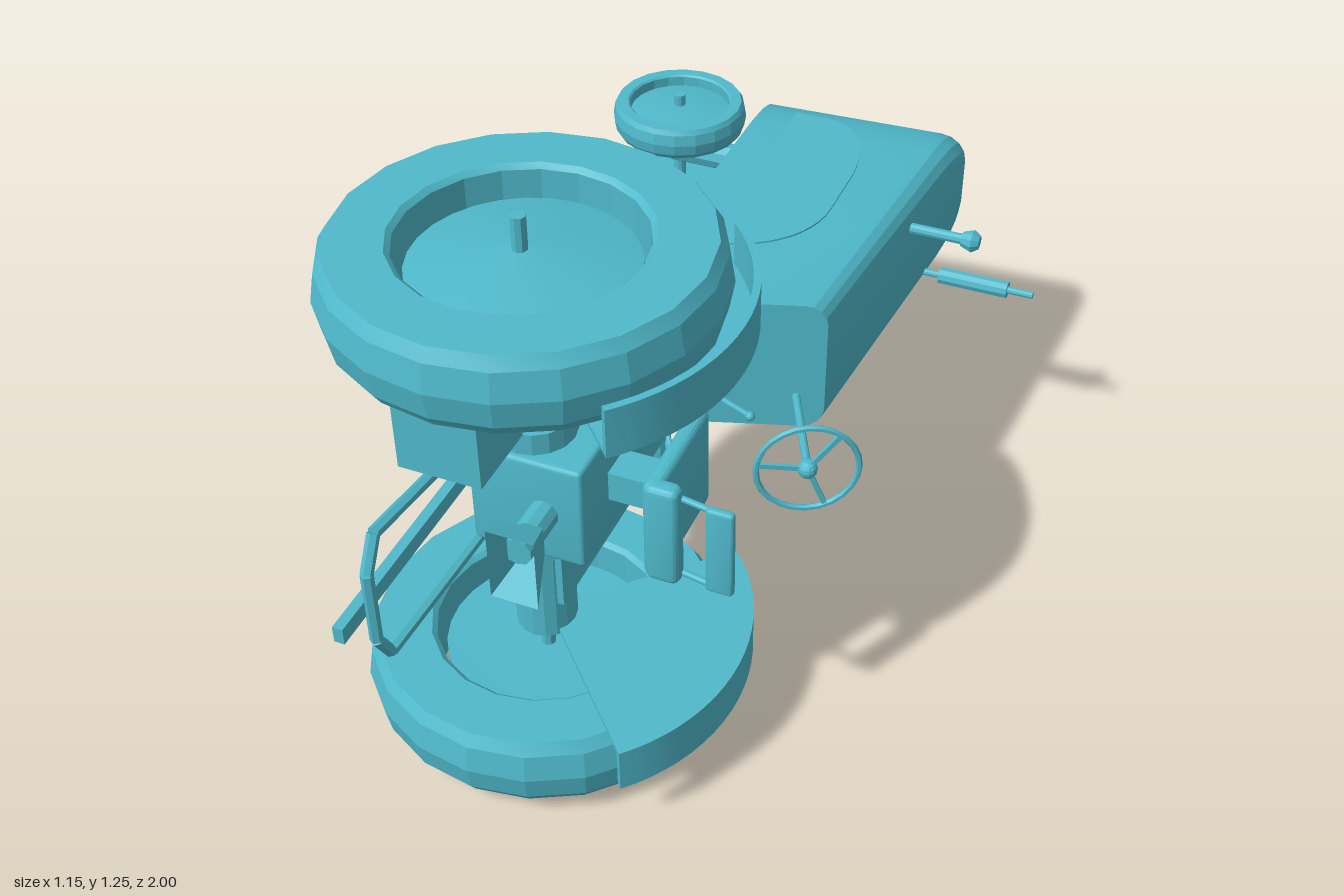
import * as THREE from 'three';
import { toCreasedNormals } from 'three/addons/utils/BufferGeometryUtils.js';
import { RoundedBoxGeometry } from 'three/addons/geometries/RoundedBoxGeometry.js';

// The tractor lies on its side: its height runs along x, its width along y, its nose points to -z.
const MID = 0.625; // centre plane of the tractor
const V = (x, y, z) => new THREE.Vector3(x, y, z);

export function createModel() {
  const root = new THREE.Group();
  const teal = new THREE.MeshStandardMaterial({ color: 0x4fb9cb });
  teal.name = 'teal paint';
  teal.side = THREE.DoubleSide;

  const add = (name, geo, x = 0, y = 0, z = 0, parent = root) => {
    const m = new THREE.Mesh(toCreasedNormals(geo, 0.3), teal);
    m.name = name;
    m.position.set(x, y, z);
    parent.add(m);
    return m;
  };
  // Box given by its limits
  const box = (name, x0, x1, y0, y1, z0, z1, r = 0) => {
    const s = [x1 - x0, y1 - y0, z1 - z0];
    const geo = r ? new RoundedBoxGeometry(...s, 2, r) : new THREE.BoxGeometry(...s);
    return add(name, geo, (x0 + x1) / 2, (y0 + y1) / 2, (z0 + z1) / 2);
  };
  // Round bar between two points
  const rod = (name, a, b, r, r2 = r, n = 10) => {
    const d = b.clone().sub(a);
    const m = add(name, new THREE.CylinderGeometry(r2, r, d.length(), n));
    m.position.copy(a).addScaledVector(d, 0.5);
    m.quaternion.setFromUnitVectors(V(0, 1, 0), d.normalize());
    return m;
  };

  // Wheel with a tyre ring and a shallow cone disc, outer side towards +y
  const wheel = (name, R, hole, rim, w, x, y, z, up) => {
    const g = new THREE.Group();
    g.name = name;
    const h = w / 2, t = R * 0.07;
    const half = [[hole, 0.88 * h], [hole + t * 0.4, h], [R - t, h], [R - t * 0.4, 0.7 * h]];
    const tyre = [...half.map(([r, v]) => [r, -v]), [R, 0], ...half.reverse(), [hole, -0.88 * h]];
    add('tyre', new THREE.LatheGeometry(tyre.map(p => new THREE.Vector2(...p)), 20), 0, 0, 0, g);
    const disc = [[0, -0.1 * h], [rim, -0.25 * h], [rim, 0.25 * h], [0, 0.75 * h]];
    add('wheelDisc', new THREE.LatheGeometry(disc.map(p => new THREE.Vector2(...p)), 28), 0, 0, 0, g);
    g.position.set(x, y, z);
    if (!up) g.rotation.x = Math.PI;
    root.add(g);
  };
  for (const s of [1, -1]) {
    const side = s > 0 ? 'left' : 'right';
    wheel(side + 'RearWheel', 0.395, 0.243, 0.225, 0.172, -0.18, MID + s * 0.491, 0.45, s > 0);
    wheel(side + 'FrontWheel', 0.169, 0.126, 0.126, 0.078, -0.403, MID + s * 0.1, -0.83, s > 0);
  }
  rod('rearAxle', V(-0.18, 0, 0.46), V(-0.18, 1.25, 0.46), 0.016, 0.016, 8);
  rod('rearAxleHousing', V(-0.178, 0.225, 0.46), V(-0.178, 1.02, 0.46), 0.066, 0.066, 16);
  rod('axleCollar', V(-0.175, 0.465, 0.46), V(-0.175, 0.8, 0.46), 0.087, 0.087, 16);
  rod('frontAxle', V(-0.403, 0.47, -0.83), V(-0.403, 0.78, -0.83), 0.015);
  rod('frontPedestal', V(-0.42, MID, -0.83), V(-0.225, MID, -0.83), 0.036);
  rod('frontPedestalFlange', V(-0.235, MID, -0.83), V(-0.17, MID, -0.83), 0.05, 0.06);

  // Hood: arched cross-sections lofted from the sloping rear to the rounded nose
  const stations = [ // z at bottom, z at top, top x, half width, corner radius
    [0.05, -0.09, 0.25, 0.165, 0.05], [-0.35, -0.4, 0.277, 0.165, 0.055], [-0.76, -0.78, 0.312, 0.165, 0.065],
    [-0.835, -0.86, 0.319, 0.159, 0.07], [-0.885, -0.91, 0.321, 0.145, 0.07], [-0.92, -0.945, 0.318, 0.124, 0.065],
    [-0.942, -0.967, 0.308, 0.095, 0.055], [-0.95, -0.98, 0.285, 0.06, 0.045]];
  const pos = [], idx = [], N = 12;
  for (const [zb, zt, top, w, r] of stations) {
    const sec = [[-0.18, -w]];
    for (const s of [-1, 1]) for (let i = 0; i <= 4; i++) {
      const a = (s < 0 ? i : 4 - i) * Math.PI / 8;
      sec.push([top - r + r * Math.sin(a), s * (w - r + r * Math.cos(a))]);
    }
    sec.push([-0.18, w]);
    for (const [x, y] of sec) pos.push(x, MID + y, zb + (zt - zb) * (x + 0.18) / (top + 0.18));
  }
  for (let k = 0; k < stations.length - 1; k++) for (let i = 0; i < N; i++) {
    const a = k * N + i, b = k * N + (i + 1) % N;
    idx.push(a, a + N, b, b, a + N, b + N);
  }
  const last = (stations.length - 1) * N;
  for (let i = 1; i < N - 1; i++) idx.push(0, i, i + 1, last, last + i + 1, last + i);
  const hood = new THREE.BufferGeometry();
  hood.setAttribute('position', new THREE.Float32BufferAttribute(pos, 3));
  hood.setIndex(idx);
  add('hood', hood);

  // Side panels on the hood
  const panel = new THREE.Shape();
  panel.moveTo(-0.09, -0.83);
  panel.lineTo(0.0, -0.83);
  panel.bezierCurveTo(0.09, -0.82, 0.13, -0.7, 0.13, -0.6);
  panel.lineTo(0.13, -0.45);
  panel.bezierCurveTo(0.13, -0.32, 0.03, -0.23, -0.09, -0.22);
  for (const y of [MID + 0.169, MID - 0.164]) {
    const m = add('hoodSidePanel', new THREE.ExtrudeGeometry(panel, { depth: 0.005, bevelEnabled: false }), 0, y, 0);
    m.rotation.x = Math.PI / 2;
  }

  // Exhaust and air intake on top of the hood
  rod('exhaustPipe', V(0.29, 0.505, -0.695), V(0.572, 0.505, -0.695), 0.009);
  rod('muffler', V(0.34, 0.505, -0.695), V(0.51, 0.505, -0.695), 0.021);
  rod('intakePipe', V(0.28, 0.71, -0.565), V(0.42, 0.71, -0.565), 0.013);
  rod('intakeCap', V(0.415, 0.71, -0.565), V(0.44, 0.71, -0.565), 0.018, 0.027);
  rod('intakeCapTop', V(0.44, 0.71, -0.565), V(0.456, 0.71, -0.565), 0.027, 0.016);

  // Gearbox, transmission tunnel and power shaft
  box('gearbox', -0.28, -0.03, 0.502, 0.75, 0.26, 0.56, 0.012);
  box('transmissionTunnel', -0.18, -0.04, 0.505, 0.745, -0.02, 0.27);
  box('rearHoodBracket', -0.06, -0.03, 0.51, 0.74, 0.0, 0.09);
  rod('powerShaft', V(-0.115, MID, 0.55), V(-0.115, MID, 0.68), 0.032);
  const flare = new THREE.CylinderGeometry(0.12, 0.045, 0.1, 4, 1, true);
  flare.rotateY(Math.PI / 4).rotateX(Math.PI / 2).scale(0.6, 1, 1);
  add('shaftShield', flare, -0.1, MID, 0.68);

  // Seat
  box('seatPost', -0.04, 0.09, 0.59, 0.66, 0.36, 0.44);
  box('seatPan', 0.085, 0.125, 0.505, 0.75, 0.27, 0.54, 0.018);
  box('seatRear', 0.09, 0.164, 0.505, 0.75, 0.5, 0.545, 0.018);
  for (const y of [0.525, 0.72]) rod('backrestStrut', V(0.13, y, 0.51), V(0.25, y, 0.53), 0.007);
  box('backrest', 0.218, 0.278, 0.515, 0.73, 0.52, 0.54, 0.009);

  // Steering wheel and column
  const hub = V(0.295, 0.545, 0.15);
  const steering = new THREE.Group();
  steering.name = 'steeringWheel';
  add('steeringRim', new THREE.TorusGeometry(0.11, 0.007, 6, 24), 0, 0, 0, steering);
  for (let i = 0; i < 3; i++) {
    const spoke = add('steeringSpoke', new THREE.BoxGeometry(0.11, 0.011, 0.008).translate(0.055, 0, 0), 0, 0, 0, steering);
    spoke.rotation.z = i * Math.PI * 2 / 3 + 0.9;
  }
  add('steeringHub', new THREE.SphereGeometry(0.022, 12, 8), 0, 0, 0, steering);
  steering.position.copy(hub);
  steering.rotation.y = Math.atan2(0.447, 0.894);
  root.add(steering);
  rod('steeringColumn', hub, V(0.19, 0.545, -0.07), 0.009);

  // Fenders: a sector plate beside the wheel and a band over the tread
  const a0 = -0.785, a1 = 0.8;
  const plate = new THREE.Shape();
  plate.moveTo(0, 0);
  plate.absarc(0, 0, 0.443, a0, a1, false);
  plate.lineTo(0, 0);
  const band = new THREE.Shape();
  band.absarc(0, 0, 0.443, a0, a1, false);
  band.absarc(0, 0, 0.428, a1, a0, true);
  for (const s of [1, -1]) {
    const g = new THREE.Group();
    g.name = s > 0 ? 'leftFender' : 'rightFender';
    for (const [name, shape, depth] of [['fenderPlate', plate, 0.01], ['fenderBand', band, 0.106]]) {
      const geo = new THREE.ExtrudeGeometry(shape, { depth, bevelEnabled: false, curveSegments: 10 });
      geo.rotateX(Math.PI / 2); // shape y becomes z
      add(name, geo, 0, s > 0 ? depth : 0, 0, g);
    }
    g.position.set(-0.18, MID + s * 0.386, 0.45);
    root.add(g);
  }

  // Hitch loop and drawbar
  const ends = [];
  for (const s of [1, -1]) {
    const corner = V(-0.298, MID + s * 0.155, 0.875), end = V(-0.298, MID + s * 0.085, 0.915);
    rod('hitchArm', V(-0.275, MID + s * 0.13, 0.5), corner, 0.013, 0.013, 6);
    rod('hitchCorner', corner, end, 0.013, 0.013, 6);
    ends.push(end);
  }
  rod('hitchCrossBar', ends[0], ends[1], 0.013, 0.013, 6);
  box('drawbar', -0.33, -0.308, 0.605, 0.642, 0.5, 1.0);

  // Toolbox, platform and belt pulley
  box('toolbox', -0.332, -0.155, 0.805, 0.955, 0.55, 0.72);
  for (const y of [0.83, 0.93]) rod('toolboxBracket', V(-0.19, y, 0.5), V(-0.19, y, 0.56), 0.009);
  box('footPlatform', -0.12, -0.105, 0.335, 0.51, 0.18, 0.52);
  rod('pulley', V(-0.075, 0.345, 0.09), V(-0.075, 0.405, 0.09), 0.055, 0.055, 18);
  rod('pulleyShaft', V(-0.075, 0.4, 0.09), V(-0.075, 0.52, 0.09), 0.03);

  // Pedals and gear lever
  for (const [x, y] of [[-0.005, 0.392], [-0.005, 0.458], [0.028, 0.805]]) {
    const pad = box('pedalPad', x - 0.025, x + 0.025, y - 0.03, y + 0.03, 0.155, 0.167);
    rod('pedalArm', V(x, y, 0.16), V(x - 0.07, MID + (y < MID ? -0.1 : 0.1), 0.06), 0.006);
    pad.rotation.y = -0.2;
  }
  rod('gearLever', V(-0.04, 0.62, 0.04), V(0.155, 0.625, 0.125), 0.006);
  add('gearKnob', new THREE.SphereGeometry(0.011, 10, 8), 0.155, 0.625, 0.125);

  return root;
}
